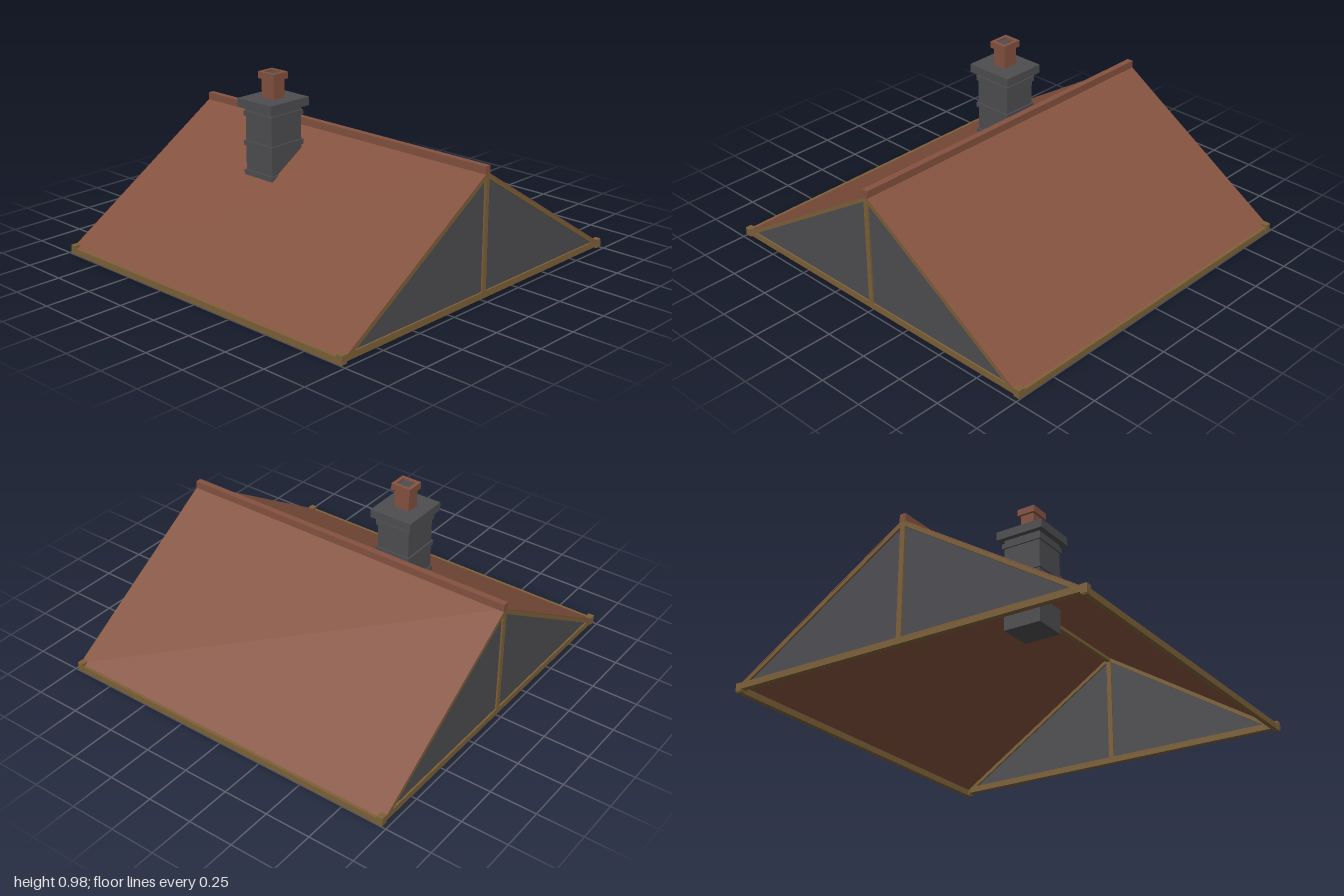
import * as THREE from 'three';

const mat = (name, color) => {
  const m = new THREE.MeshStandardMaterial({ color });
  m.name = name;
  return m;
};

export function createModel() {
  const tile = mat('terracotta', 0x84523f);
  const stone = mat('slate grey', 0x4e4d51);
  const wood = mat('timber', 0x7d6138);
  const model = new THREE.Group();
  const HALF = 0.98; // half length along the ridge

  const add = (parent, name, geometry, material) => {
    const mesh = new THREE.Mesh(geometry, material);
    mesh.name = name;
    parent.add(mesh);
    return mesh;
  };
  const box = (parent, name, material, w, h, d, x, y, z) =>
    add(parent, name, new THREE.BoxGeometry(w, h, d), material).position.set(x, y, z);

  // Extrudes an xy outline along z, centred on the given z
  const extrude = (parent, name, material, points, depth, z) => {
    const shape = new THREE.Shape(points.map(([x, y]) => new THREE.Vector2(x, y)));
    const geometry = new THREE.ExtrudeGeometry(shape, { depth, bevelEnabled: false });
    add(parent, name, geometry, material).position.z = z - depth / 2;
  };
  // Inverted V: top apex, eave point and vertical thickness
  const chevron = (apex, ex, ey, t) => [
    [0, apex], [-ex, ey], [-ex, ey - t], [0, apex - t], [ex, ey - t], [ex, ey],
  ];

  // Roof slopes and ridge cap
  extrude(model, 'roofSlopes', tile, chevron(0.66, 0.982, 0.036, 0.006), HALF * 2, 0);
  box(model, 'ridgeCap', tile, 0.034, 0.04, HALF * 2, 0, 0.67, 0);
  box(model, 'ridgeBeam', wood, 0.024, 0.02, HALF * 2 - 0.02, 0, 0.637, 0);

  // Gable ends with timber frames
  for (const [side, label] of [[1, 'front'], [-1, 'back']]) {
    const gable = new THREE.Group();
    gable.name = label + 'Gable';
    model.add(gable);
    const z = side * (HALF - 0.016);
    extrude(gable, 'gablePanel', stone, [[-0.95, 0.035], [0.95, 0.035], [0, 0.645]], 0.012, z);
    extrude(gable, 'rakeTrim', wood, chevron(0.654, 0.982, 0.03, 0.024), 0.03, z);
    box(gable, 'tieBeam', wood, 1.96, 0.034, 0.03, 0, 0.033, z);
    box(gable, 'kingPost', wood, 0.028, 0.6, 0.03, 0, 0.34, z);
  }

  // Eave beams and corner blocks
  for (const sx of [-1, 1]) {
    box(model, 'eaveBeam', wood, 0.026, 0.034, HALF * 2 - 0.01, sx * 0.985, 0.019, 0);
    for (const sz of [-1, 1]) {
      box(model, 'cornerBlock', wood, 0.034, 0.045, 0.034, sx * 0.983, 0.0285, sz * 0.963);
    }
  }

  // Chimney: shaft, bands, cap and hollow square pot
  const chimney = new THREE.Group();
  chimney.name = 'chimney';
  chimney.position.set(-0.24, 0, -0.225);
  model.add(chimney);
  box(chimney, 'shaft', stone, 0.21, 0.51, 0.19, 0, 0.555, 0);
  for (const y of [0.45, 0.608, 0.766]) box(chimney, 'band', stone, 0.226, 0.027, 0.206, 0, y, 0);
  box(chimney, 'cap', stone, 0.27, 0.046, 0.245, 0, 0.823, 0);
  box(chimney, 'pot', tile, 0.076, 0.105, 0.088, 0, 0.8975, 0);
  const rim = new THREE.Shape([[-1, -1], [1, -1], [1, 1], [-1, 1]]
    .map(([x, y]) => new THREE.Vector2(x * 0.05, y * 0.057)));
  rim.holes.push(new THREE.Path([[-1, -1], [-1, 1], [1, 1], [1, -1]]
    .map(([x, y]) => new THREE.Vector2(x * 0.032, y * 0.037))));
  const rimGeometry = new THREE.ExtrudeGeometry(rim, { depth: 0.036, bevelEnabled: false });
  rimGeometry.rotateX(-Math.PI / 2);
  add(chimney, 'potRim', rimGeometry, tile).position.y = 0.946;
  box(chimney, 'flueOpening', stone, 0.064, 0.008, 0.074, 0, 0.968, 0);

  return model;
}
